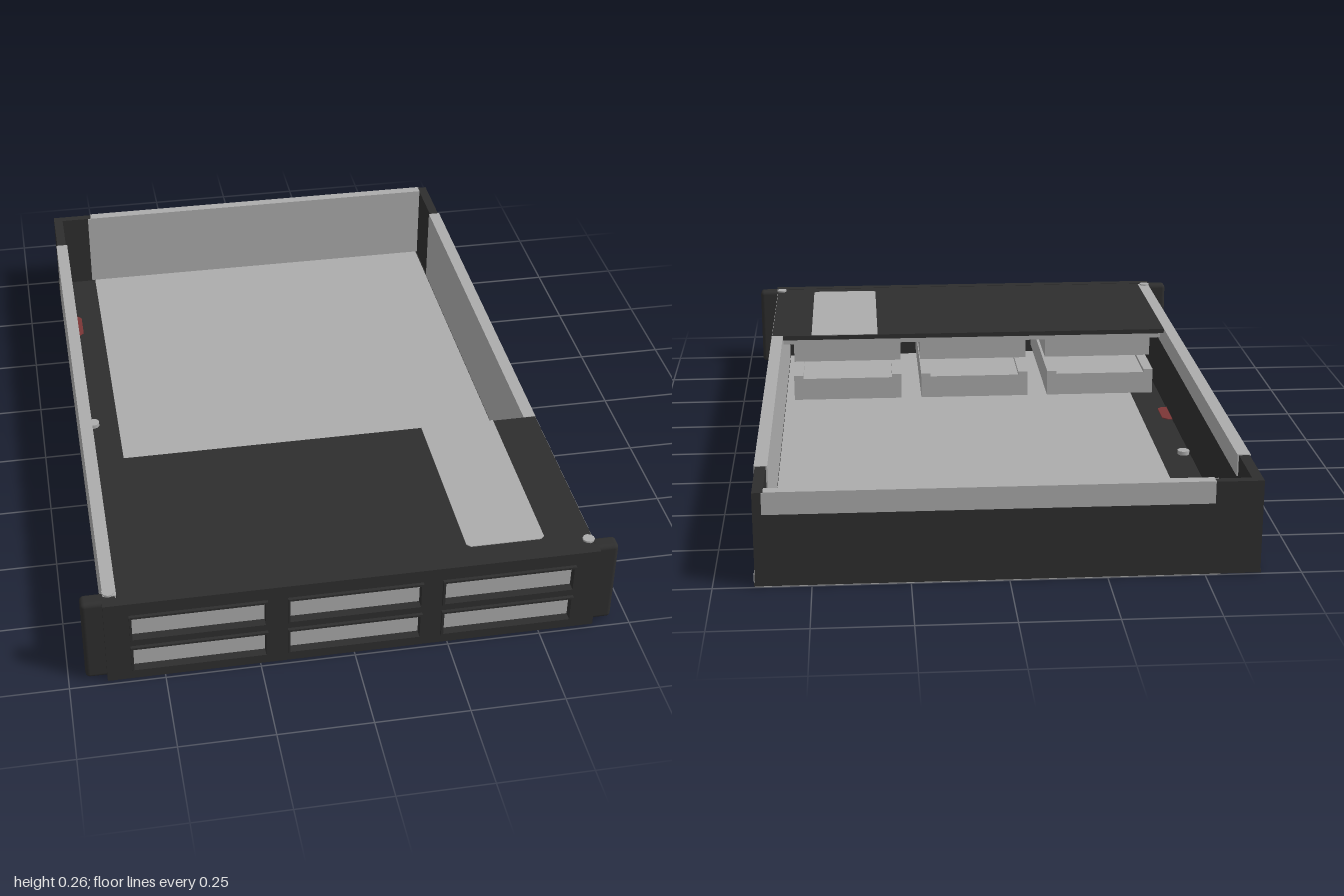
import * as THREE from 'three';
import { RoundedBoxGeometry } from 'three/addons/geometries/RoundedBoxGeometry.js';

export function createModel() {
  const model = new THREE.Group();
  model.name = 'rackChassis';
  const mat = (name, color) => Object.assign(new THREE.MeshStandardMaterial({ color }), { name });
  const dark = mat('charcoal', 0x2e2e2e);
  const grey = mat('lightGrey', 0xacacac);
  const red = mat('dullRed', 0x7c3636);

  const add = (name, geometry, material) => {
    const mesh = new THREE.Mesh(geometry, material);
    mesh.name = name;
    model.add(mesh);
    return mesh;
  };
  // box given by its limits on each axis
  const box = (name, material, x0, x1, y0, y1, z0, z1) =>
    add(name, new THREE.BoxGeometry(x1 - x0, y1 - y0, z1 - z0), material)
      .position.set((x0 + x1) / 2, (y0 + y1) / 2, (z0 + z1) / 2);
  // thin horizontal plate from [x, z] corners
  const plate = (name, material, points, y, thick) => {
    const shape = new THREE.Shape(points.map(([x, z]) => new THREE.Vector2(x, -z)));
    const geometry = new THREE.ExtrudeGeometry(shape, { depth: thick, bevelEnabled: false });
    geometry.rotateX(-Math.PI / 2);
    add(name, geometry, material).position.y = y;
  };
  const rect = (shape, x0, x1, y0, y1) => {
    shape.moveTo(x0, y0).lineTo(x1, y0).lineTo(x1, y1).lineTo(x0, y1).closePath();
    return shape;
  };

  // floor: dark pan with grey lining and grey patch below
  box('floorPan', dark, -0.645, 0.645, 0.002, 0.01, -0.998, 0.97);
  box('floorLining', grey, -0.52, 0.61, 0.01, 0.014, -0.97, 0.96);
  plate('undersidePatch', grey,
    [[0.643, -0.998], [0.643, -0.48], [-0.49, -0.48], [-0.54, -0.53], [-0.54, -0.998]], 0, 0.002);

  // left wall (+x): dark outside, grey rim and lining
  box('leftWall', dark, 0.615, 0.643, 0.01, 0.253, -0.998, 0.96);
  box('leftWallBand', grey, 0.643, 0.646, 0.195, 0.253, -0.81, 0.94);
  box('leftWallLining', grey, 0.611, 0.615, 0.014, 0.253, -0.81, 0.95);
  box('leftWallRim', grey, 0.611, 0.646, 0.253, 0.255, -0.81, 0.38);

  // right wall (-x): dark inside, grey rim, band and outer skin
  box('rightWall', dark, -0.643, -0.615, 0.01, 0.253, -0.998, 0.96);
  box('rightWallSkin', grey, -0.646, -0.643, 0.04, 0.253, -0.81, 0.94);
  box('rightWallBand', grey, -0.615, -0.611, 0.195, 0.253, -0.81, 0.94);
  box('rightWallRim', grey, -0.646, -0.611, 0.253, 0.255, -0.81, 0.95);

  // back wall with grey lining, rim and outer band
  box('backWall', dark, -0.643, 0.643, 0.01, 0.253, -0.998, -0.974);
  box('backWallLining', grey, -0.53, 0.615, 0.014, 0.253, -0.974, -0.97);
  box('backWallRim', grey, -0.52, 0.615, 0.253, 0.255, -1, -0.97);
  box('backWallBand', grey, -0.52, 0.62, 0.195, 0.253, -1, -0.998);

  // front cover with grey stripe and rear lip
  box('cover', dark, -0.611, 0.645, 0.24, 0.254, 0.38, 0.96);
  box('coverLip', grey, -0.6, 0.61, 0.226, 0.24, 0.382, 0.39);
  plate('coverStripe', grey,
    [[0.31, 0.38], [0.31, 0.905], [0.32, 0.915], [0.51, 0.915], [0.52, 0.905], [0.52, 0.38]], 0.254, 0.002);

  // front frame with six openings, each holding a drive
  const columns = [-0.408, 0, 0.408];
  const rows = [{ y: 0.072, back: 0.39 }, { y: 0.176, back: 0.47 }];
  const w = 0.172, h = 0.035;
  const frame = rect(new THREE.Shape(), -0.65, 0.65, 0.002, 0.255);
  for (const x of columns) {
    for (const { y, back } of rows) {
      frame.holes.push(rect(new THREE.Path(), x - w, x + w, y - h, y + h));
      box('drive', grey, x - w, x + w, y - h, y + h, back, 0.975);
      // raised side rails on the drive
      for (const s of [-1, 1]) {
        const rx = x + s * (w - 0.015);
        box('driveRail', grey, rx - 0.015, rx + 0.015, y + h, y + h + 0.01, back, 0.95);
      }
      const trim = rect(new THREE.Shape(), x - w - 0.006, x + w + 0.006, y - h - 0.006, y + h + 0.006);
      trim.holes.push(rect(new THREE.Path(), x - w, x + w, y - h, y + h));
      add('driveTrim', new THREE.ExtrudeGeometry(trim, { depth: 0.01, bevelEnabled: false }), dark)
        .position.z = 0.989;
    }
  }
  add('frontFrame', new THREE.ExtrudeGeometry(frame, { depth: 0.03, bevelEnabled: false }), dark)
    .position.z = 0.96;

  // mounting ears and corner screws
  for (const s of [-1, 1]) {
    add('mountingEar', new RoundedBoxGeometry(0.07, 0.25, 0.045, 3, 0.012), dark)
      .position.set(s * 0.67, 0.13, 0.953);
    add('cornerScrew', new THREE.CylinderGeometry(0.016, 0.016, 0.006, 10), grey)
      .position.set(s * 0.632, 0.256, 0.937);
  }

  // small fittings along the right side of the floor
  for (const z of [-0.69, 0.25]) {
    plate('redMarker', red, [[-0.615, z - 0.06], [-0.615, z + 0.06], [-0.6, z + 0.06],
      [-0.585, z + 0.045], [-0.585, z - 0.045], [-0.6, z - 0.06]], 0.01, 0.003);
  }
  add('floorStud', new THREE.CylinderGeometry(0.018, 0.018, 0.012, 10), grey)
    .position.set(-0.595, 0.016, -0.125);
  box('rearTab', grey, 0.643, 0.646, 0.005, 0.03, -0.99, -0.93);

  return model;
}
